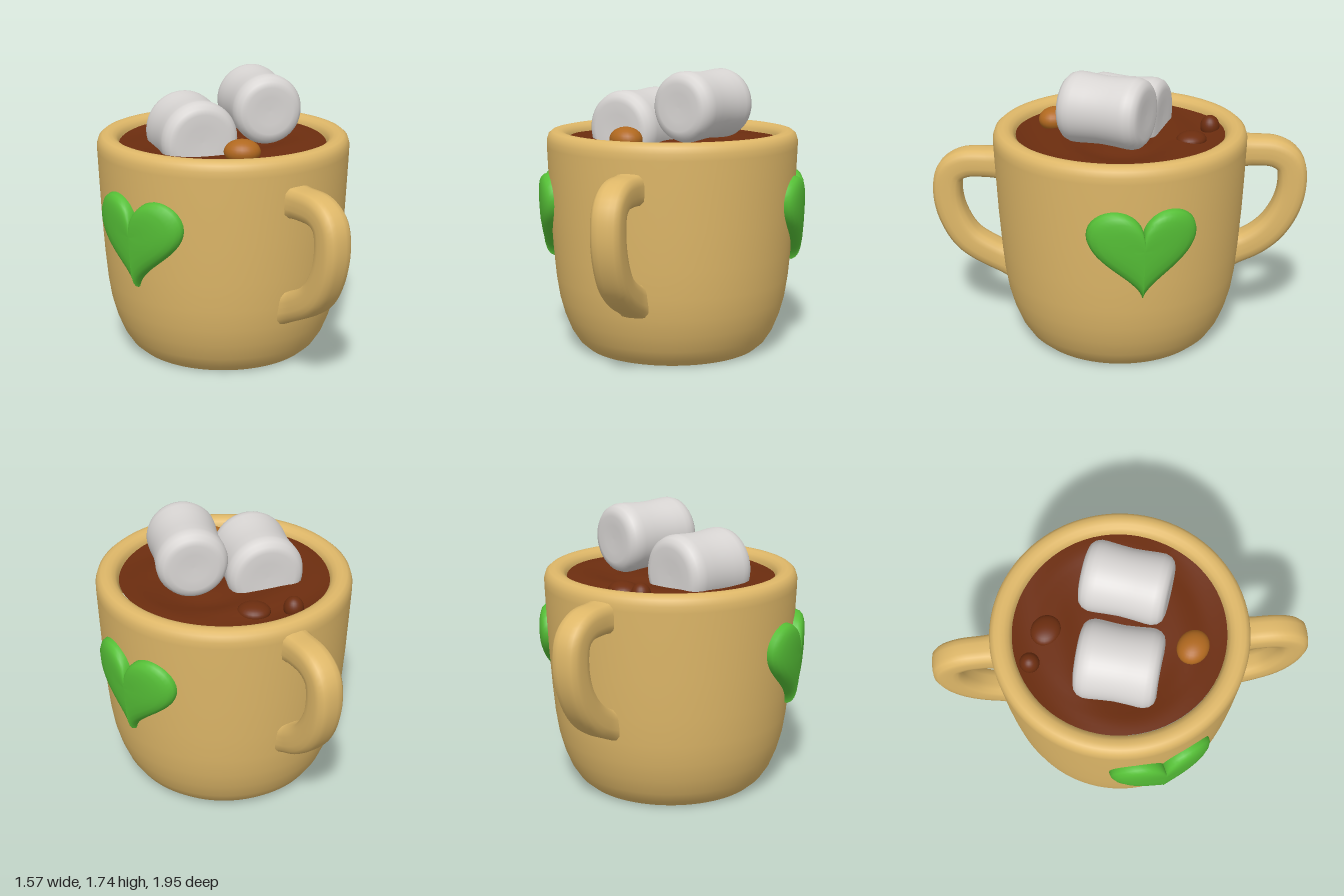
import * as THREE from 'three';

const mat = (name, color, extra = {}) => {
  const m = new THREE.MeshStandardMaterial({ color, ...extra });
  m.name = name;
  return m;
};
const v2 = (pts) => pts.map(([x, y]) => new THREE.Vector2(x, y));
const deg = THREE.MathUtils.degToRad;

// Rounded-square tube along a path in the xy plane, flared where it joins the wall
function handleGeometry(points, radius) {
  const path = new THREE.CatmullRomCurve3(points.map(([x, y]) => new THREE.Vector3(x, y, 0)));
  const segs = 48, sides = 20;
  const geo = new THREE.TubeGeometry(path, segs, radius, sides);
  const pos = geo.attributes.position, p = new THREE.Vector3();
  for (let i = 0; i <= segs; i++) {
    const c = path.getPointAt(i / segs);
    const end = Math.abs(i / segs - 0.5) * 2;
    const flare = 1 + 0.25 * Math.max(0, (end - 0.75) / 0.25) ** 2;
    for (let j = 0; j <= sides; j++) {
      const a = (j / sides) * Math.PI * 2, k = i * (sides + 1) + j;
      const f = flare / (Math.cos(a) ** 4 + Math.sin(a) ** 4) ** 0.25;
      p.fromBufferAttribute(pos, k).sub(c).multiplyScalar(f).add(c);
      pos.setXYZ(k, p.x, p.y, p.z);
    }
  }
  geo.computeVertexNormals();
  return geo;
}

// Puffy heart made of concentric outlines, wrapped round the mug wall
function heartGeometry() {
  const n = 72, base = 0.735, cy = 0.875;
  const rings = [[0.02, 0.1], [0.3, 0.1], [0.55, 0.097], [0.75, 0.09], [0.88, 0.078], [0.96, 0.06], [1, 0.035], [0.98, -0.01]];
  const verts = [], index = [];
  rings.forEach(([s, h], r) => {
    for (let i = 0; i < n; i++) {
      const t = (i / n) * Math.PI * 2;
      const x = s * 0.345 * Math.sin(t) ** 3;
      const y = s * 0.0193 * (13 * Math.cos(t) - 5 * Math.cos(2 * t) - 2 * Math.cos(3 * t) - Math.cos(4 * t));
      const a = x / 0.8, rad = base + h + y * 0.04;
      verts.push(rad * Math.sin(a), cy + y, rad * Math.cos(a));
      if (r > 0) {
        const p = (r - 1) * n + i, q = (r - 1) * n + ((i + 1) % n);
        index.push(p, q, p + n, q, q + n, p + n);
      }
    }
  });
  const centre = verts.length / 3;
  verts.push(0, cy, base + 0.1);
  for (let i = 0; i < n; i++) index.push(centre, (i + 1) % n, i);
  const geo = new THREE.BufferGeometry();
  geo.setAttribute('position', new THREE.Float32BufferAttribute(verts, 3));
  geo.setIndex(index);
  geo.computeVertexNormals();
  return geo;
}

// Soft cylinder with rounded edges and a slight waist
function marshmallowGeometry(r, h) {
  const half = v2([[r - 0.01, 0], [r - 0.006, h * 0.3], [r, h * 0.6], [r, h - 0.07], [r - 0.012, h - 0.035],
    [r - 0.035, h - 0.012], [r - 0.07, h - 0.002], [r * 0.4, h - 0.006], [0, h - 0.008]]);
  const lower = half.slice(1).reverse().map((p) => new THREE.Vector2(p.x, -p.y));
  return new THREE.LatheGeometry([...lower, ...half], 48);
}

export function createModel() {
  const model = new THREE.Group();
  model.name = 'cocoaMug';
  const body = new THREE.Group();
  body.name = 'mugAndContents';
  body.position.z = -0.025;
  model.add(body);

  const tan = mat('tan ceramic', 0xdeb768);
  const green = mat('heart green', 0x55bf36, { side: THREE.DoubleSide });
  const brown = mat('cocoa brown', 0x6c2d0f);
  const amber = mat('amber nugget', 0xb0681f);
  const white = mat('marshmallow white', 0xd8d5d3);

  const add = (name, geo, material, x = 0, y = 0, z = 0) => {
    const mesh = new THREE.Mesh(geo, material);
    mesh.name = name;
    mesh.position.set(x, y, z);
    body.add(mesh);
    return mesh;
  };

  // Mug wall: outside, rolled rim, inside
  const wall = v2([[0.555, 0], [0.6, 0.04], [0.645, 0.11], [0.685, 0.21], [0.715, 0.32], [0.735, 0.45], [0.75, 0.62],
    [0.765, 0.85], [0.776, 1.1], [0.783, 1.27], [0.783, 1.31], [0.772, 1.345], [0.75, 1.364], [0.72, 1.37],
    [0.69, 1.365], [0.665, 1.35], [0.65, 1.325], [0.642, 1.28], [0.635, 1.15]]);
  add('mugWall', new THREE.LatheGeometry(wall, 96), tan, 0.003);
  add('mugBase', new THREE.CircleGeometry(0.555, 96).rotateX(Math.PI / 2), tan, 0.003);

  // Two handles on opposite sides, the back one higher
  const addHandle = (name, angle, reach, lift) => {
    const pts = [[0.69, 1.095], [0.82, 1.1], [0.96 + reach, 1.09], [1.045 + reach, 1.03], [1.07 + reach, 0.9],
      [1.04 + reach, 0.74], [0.95 + reach, 0.585], [0.82, 0.48], [0.66, 0.42]];
    const h = add(name, handleGeometry(pts.map(([x, y]) => [x, y + lift]), 0.089), tan);
    h.rotation.y = deg(angle - 90);
  };
  addHandle('frontHandle', 36, 0.03, 0);
  addHandle('backHandle', 217, 0, 0.12);

  // Hearts on the two remaining sides
  const heart = heartGeometry();
  add('frontHeart', heart, green).rotation.y = deg(-39.5);
  add('backHeart', heart, green).rotation.y = deg(140);

  // Cocoa surface with gentle ripples
  const cocoa = new THREE.RingGeometry(0.001, 0.645, 72, 24).rotateX(-Math.PI / 2);
  const pos = cocoa.attributes.position;
  for (let i = 0; i < pos.count; i++) {
    const x = pos.getX(i), z = pos.getZ(i), r = Math.hypot(x, z);
    const ripple = 0.012 * Math.sin(r * 17 + 1.6 * Math.sin(2 * Math.atan2(z, x)));
    pos.setY(i, ripple * Math.min(1, r * 3) + 0.02 * Math.max(0, r - 0.5) / 0.145);
  }
  cocoa.computeVertexNormals();
  add('cocoa', cocoa, brown, 0, 1.3, 0);

  // Lumps floating in the cocoa
  const blob = (name, material, x, y, z, sx, sy, sz) =>
    add(name, new THREE.SphereGeometry(1, 24, 16).scale(sx, sy, sz), material, x, y, z);
  blob('cocoaLump', brown, -0.21, 1.3, -0.39, 0.1, 0.05, 0.09);
  blob('cocoaSmallLump', brown, -0.44, 1.32, -0.36, 0.06, 0.07, 0.06);
  blob('nugget', amber, 0.13, 1.345, 0.43, 0.11, 0.075, 0.095);

  // Two marshmallows lying on the cocoa
  const addMarshmallow = (name, r, half, x, y, z, dx, dz) => {
    const m = add(name, marshmallowGeometry(r, half), white, x, y, z);
    m.quaternion.setFromUnitVectors(new THREE.Vector3(0, 1, 0), new THREE.Vector3(dx, 0, dz).normalize());
  };
  addMarshmallow('lowMarshmallow', 0.237, 0.25, -0.19, 1.375, 0.11, 0.35, 0.94);
  addMarshmallow('highMarshmallow', 0.214, 0.262, 0.22, 1.53, -0.08, 0.29, 0.957);

  return model;
}
